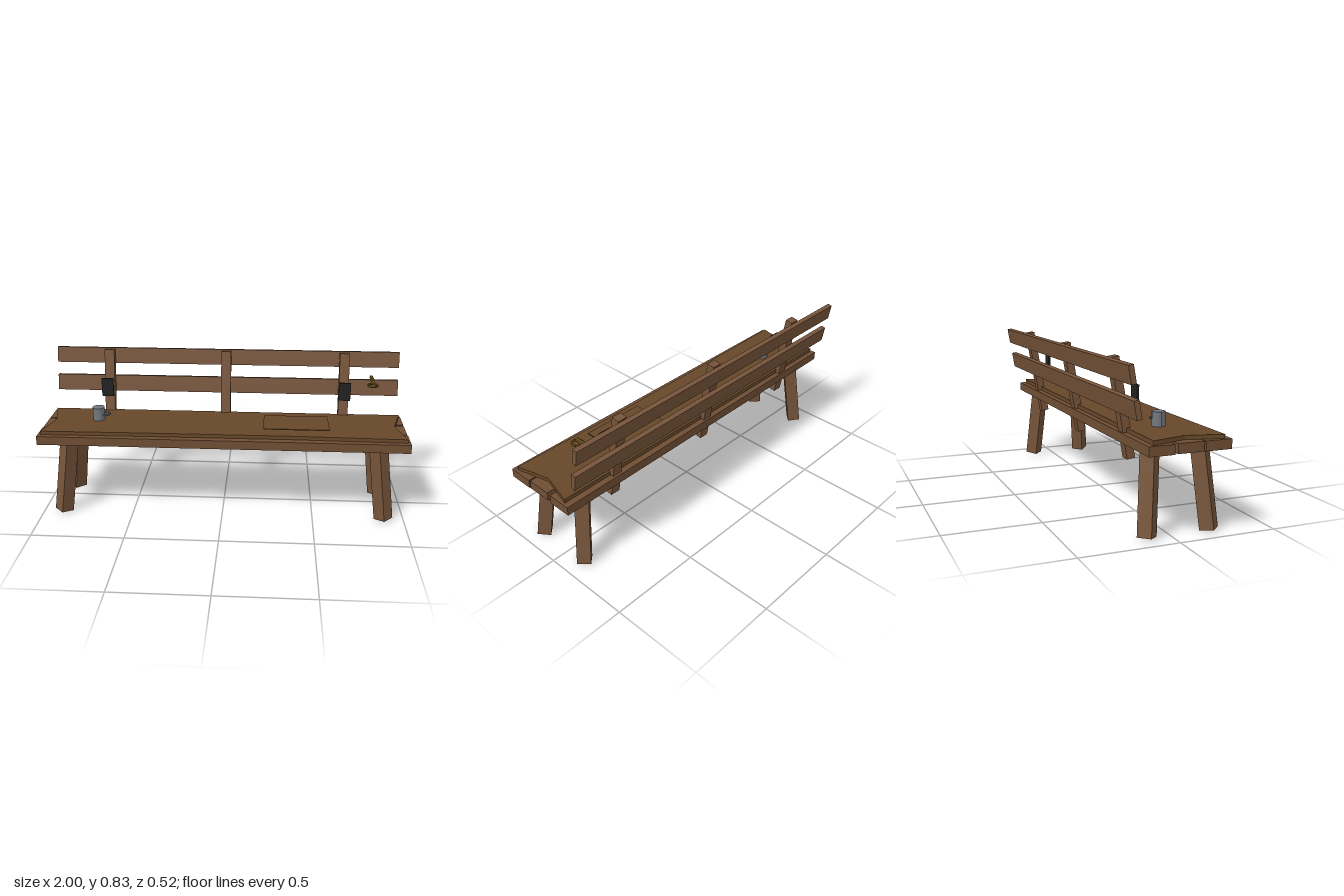
import * as THREE from 'three';

const material = (color) => new THREE.MeshStandardMaterial({ color, flatShading: true });

export function createModel() {
  const bench = new THREE.Group();
  bench.name = 'bench';
  const wood = material(0x76543a);
  const seatWood = material(0x6f4e34);
  const cover = material(0x674829);
  const black = material(0x222222);
  const brass = material(0x6e5418);
  const pewter = material(0x74777f);

  const add = (name, geometry, mat, x, y, z, rx = 0, ry = 0) => {
    const mesh = new THREE.Mesh(geometry, mat);
    mesh.name = name;
    mesh.position.set(x, y, z);
    mesh.rotation.set(rx, ry, 0);
    bench.add(mesh);
    return mesh;
  };
  const box = (w, h, d) => new THREE.BoxGeometry(w, h, d);

  // Three seat planks, the rear one set a little askew
  add('frontPlank', box(2, 0.048, 0.134), seatWood, 0, 0.441, 0.187);
  add('middlePlank', box(1.995, 0.048, 0.133), seatWood, 0, 0.441, 0.046);
  add('backPlank', box(1.998, 0.048, 0.13), seatWood, 0, 0.439, -0.104, 0, 0.004);

  // Seat cover with notched ends; shape y runs towards -z
  const outline = [
    [-0.985, -0.225], [-0.4, -0.217], [0.4, -0.214], [0.985, -0.226], [0.938, -0.04],
    [0.985, 0.138], [0.4, 0.136], [-0.4, 0.137], [-0.985, 0.138], [-0.94, -0.04],
  ].map(([x, y]) => new THREE.Vector2(x, y));
  const coverGeometry = new THREE.ExtrudeGeometry(new THREE.Shape(outline), { depth: 0.022, bevelEnabled: false });
  add('seatCover', coverGeometry, cover, 0, 0.463, 0, -Math.PI / 2);

  // Splayed four-sided legs, turned corner-on
  const up = new THREE.Vector3(0, 1, 0);
  for (const side of [-1, 1]) {
    for (const [name, topZ, footZ] of [['frontLeg', 0.171, 0.207], ['backLeg', -0.085, -0.119]]) {
      const top = new THREE.Vector3(side * 0.839, 0.43, topZ);
      const foot = new THREE.Vector3(side * 0.89, 0.006, footZ);
      const axis = top.clone().sub(foot);
      const centre = top.clone().add(foot).multiplyScalar(0.5);
      const leg = add(name, new THREE.CylinderGeometry(0.051, 0.051, axis.length(), 4), wood, ...centre);
      leg.quaternion.setFromUnitVectors(up, axis.normalize());
    }
  }

  // Leaning backrest posts and rails
  const lean = -0.172;
  for (const x of [-0.667, 0, 0.667]) {
    add('backPost', box(0.055, 0.5, 0.042), wood, x, 0.58, -0.156, lean);
  }
  add('lowerRail', box(1.957, 0.09, 0.027), wood, -0.001, 0.6245, -0.2095, lean);
  add('upperRail', box(1.957, 0.088, 0.026), wood, -0.001, 0.782, -0.2375, lean);

  // Dark plates in front of the outer posts
  for (const x of [-0.667, 0.667]) {
    add('plate', box(0.066, 0.102, 0.012), black, x, 0.638, -0.083);
  }

  // Brass peg and ring
  add('peg', new THREE.CylinderGeometry(0.011, 0.011, 0.09, 8), brass, 0.817, 0.706, -0.102, Math.PI / 2);
  add('ring', new THREE.TorusGeometry(0.026, 0.006, 6, 16), brass, 0.817, 0.687, -0.058, Math.PI / 2);

  // Mug with its loop handle
  add('mug', new THREE.CylinderGeometry(0.034, 0.034, 0.073, 12), pewter, -0.702, 0.5205, 0.025);
  add('mugHandle', new THREE.TorusGeometry(0.023, 0.005, 6, 12), pewter, -0.662, 0.517, 0.023, Math.PI / 2);

  // Thin sheet above the seat
  add('sheet', box(0.355, 0.005, 0.202), cover, 0.398, 0.5025, 0.064);

  return bench;
}
